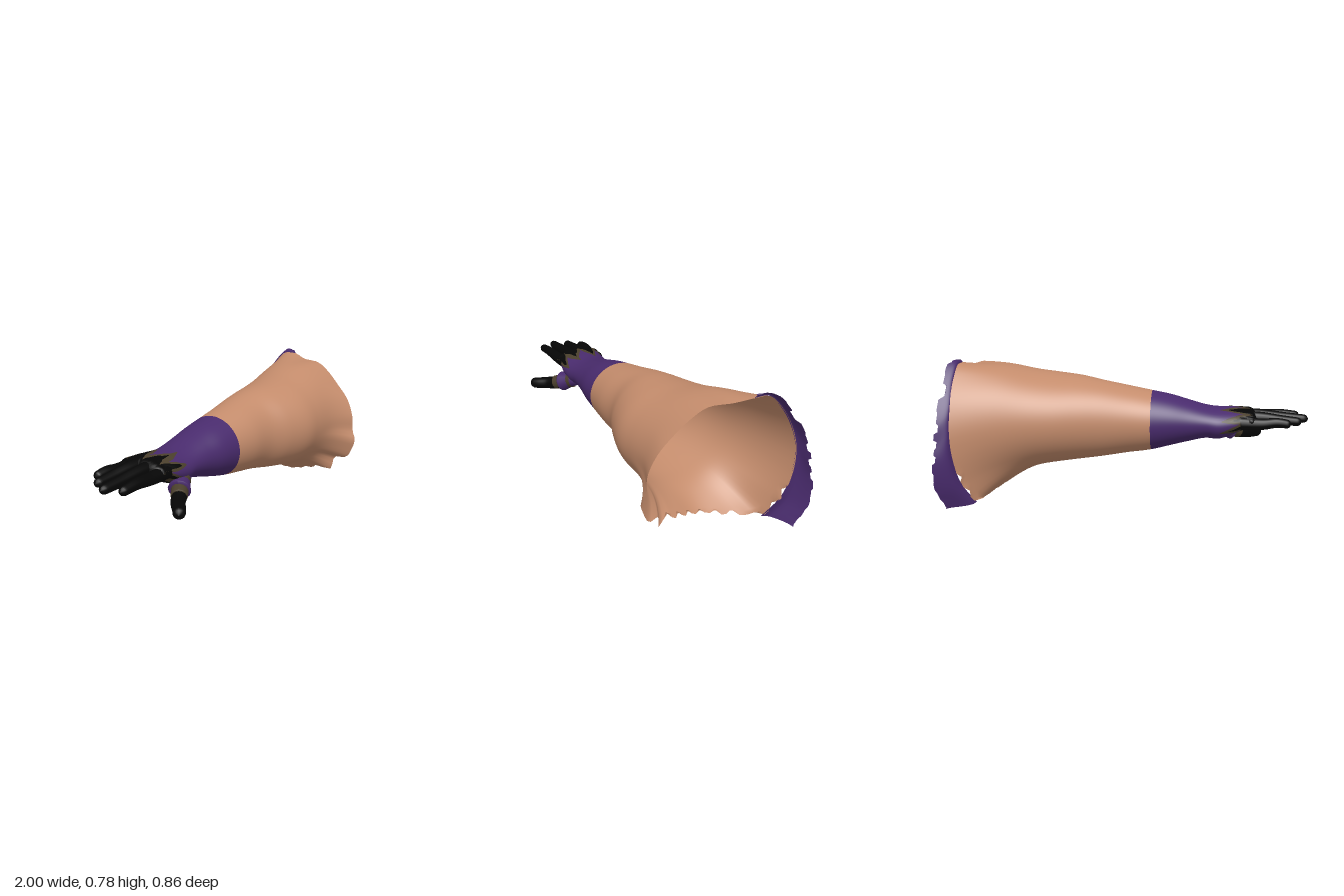
import * as THREE from 'three';

const mat = (name, color) => {
  const m = new THREE.MeshStandardMaterial({ color, side: THREE.DoubleSide });
  m.name = name;
  return m;
};
const lerp = THREE.MathUtils.lerp;
const N = 96; // points around the arm

// Arm outline at stations along x: top y, bottom y, back z, front z
const stations = [
  [-0.72, 0.468, 0.462, 0.02, 0.04],
  [-0.70, 0.505, 0.43, -0.09, 0.145],
  [-0.65, 0.52, 0.41, -0.105, 0.16],
  [-0.58, 0.522, 0.37, -0.105, 0.178],
  [-0.50, 0.52, 0.342, -0.10, 0.178],
  [-0.44, 0.528, 0.347, -0.10, 0.175],
  [-0.34, 0.555, 0.325, -0.11, 0.185],
  [-0.24, 0.583, 0.298, -0.125, 0.205],
  [-0.13, 0.605, 0.27, -0.14, 0.215],
  [0.0, 0.63, 0.25, -0.155, 0.23],
  [0.15, 0.66, 0.225, -0.18, 0.243],
  [0.27, 0.682, 0.205, -0.205, 0.295],
  [0.40, 0.697, 0.185, -0.235, 0.335],
  [0.52, 0.713, 0.166, -0.258, 0.335],
  [0.70, 0.745, 0.13, -0.283, 0.325],
  [0.95, 0.76, 0.11, -0.30, 0.33],
];
const outline = new THREE.CubicInterpolant(
  stations.map(s => s[0]), stations.flatMap(s => s.slice(1)), 4, new Float32Array(4));

// Point on the sleeve at position x and angle a (0 = top, toward the front)
function skin(x, a, inset = 0) {
  const [top, bottom, back, front] = outline.evaluate(x);
  return [x, (top + bottom) / 2 + ((top - bottom) / 2 - inset) * Math.cos(a),
    (front + back) / 2 + ((front - back) / 2 - inset) * Math.sin(a)];
}

const curve = (pts, closed = false) =>
  new THREE.CatmullRomCurve3(pts.map(p => new THREE.Vector3(...p)), closed, 'centripetal');

// Flared, uneven shoulder opening
const rimCurve = curve([
  [0.92, 0.77, -0.10], [0.88, 0.75, 0.0], [0.85, 0.745, 0.12], [0.835, 0.70, 0.20],
  [0.82, 0.63, 0.28], [0.81, 0.55, 0.355], [0.80, 0.45, 0.40], [0.80, 0.36, 0.408], [0.79, 0.31, 0.43],
  [0.79, 0.25, 0.415], [0.785, 0.188, 0.38], [0.76, 0.182, 0.315], [0.74, 0.105, 0.30], [0.72, 0.095, 0.26],
  [0.71, 0.118, 0.255], [0.70, 0.095, 0.15], [0.69, 0.07, 0.05],
  [0.74, 0.05, -0.10], [0.78, 0.035, -0.20], [0.82, 0.02, -0.28], [0.88, 0.15, -0.345],
  [0.91, 0.30, -0.375], [0.92, 0.45, -0.37], [0.92, 0.58, -0.325], [0.925, 0.69, -0.25],
  [0.925, 0.765, -0.17],
], true);
const angleOf = p => (Math.atan2((p.z - 0.02) / 0.4, (p.y - 0.4) / 0.37) + Math.PI * 2) % (Math.PI * 2);
const rimSamples = rimCurve.getPoints(900).map(p => ({ p, a: angleOf(p) }));
const rim = Array.from({ length: N }, (_, i) => {
  const a = i / N * Math.PI * 2;
  return rimSamples.reduce((best, s) => Math.abs(s.a - a) < Math.abs(best.a - a) ? s : best).p;
});

// Repeatable ragged offset
const rag = i => { const s = Math.sin(i * 12.9898) * 43758.5453; return s - Math.floor(s) - 0.5; };

// Smooth surface from rows of points
function sheet(name, material, cols, rows, closed, point) {
  const pos = [], index = [], w = closed ? cols : cols + 1;
  for (let j = 0; j <= rows; j++)
    for (let i = 0; i < w; i++) pos.push(...point(i, j / rows));
  for (let j = 0; j < rows; j++)
    for (let i = 0; i < cols; i++) {
      const a = j * w + i, b = j * w + (i + 1) % w;
      index.push(a, a + w, b, b, a + w, b + w);
    }
  const g = new THREE.BufferGeometry();
  g.setAttribute('position', new THREE.Float32BufferAttribute(pos, 3));
  g.setIndex(index);
  g.computeVertexNormals();
  const mesh = new THREE.Mesh(g, material);
  mesh.name = name;
  return mesh;
}

// Tapered, round-tipped finger along a curve
function finger(name, material, pts, r0, r1, round = 0.08) {
  const path = curve(pts), rows = 40, sides = 14;
  const g = new THREE.TubeGeometry(path, rows, 1, sides);
  const p = g.attributes.position, v = new THREE.Vector3();
  for (let k = 0; k < p.count; k++) {
    const t = Math.floor(k / (sides + 1)) / rows, c = path.getPointAt(t);
    const e = Math.max(0, (t - 1 + round) / round);
    const r = lerp(r0, r1, t) * Math.sqrt(Math.max(0, 1 - e * e));
    v.fromBufferAttribute(p, k).sub(c).multiplyScalar(r).add(c);
    p.setXYZ(k, v.x, v.y, v.z);
  }
  g.computeVertexNormals();
  const mesh = new THREE.Mesh(g, material);
  mesh.name = name;
  return mesh;
}

export function createModel() {
  const group = new THREE.Group();
  group.name = 'armWithGlove';
  const tan = mat('tan sleeve', 0xc48c6c);
  const purple = mat('purple cloth', 0x492b6d);
  const black = mat('black glove', 0x060606);
  const olive = mat('dark olive trim', 0x4a3f2c);
  const angle = i => i / N * Math.PI * 2;

  // Upper sleeve, flaring late into the ragged shoulder opening
  group.add(sheet('sleeve', tan, N, 56, true, (i, v) => {
    const r = rim[i], x = lerp(-0.13, r.x, v), base = skin(x, angle(i));
    const w = Math.pow(Math.max(0, (x - 0.45) / (r.x - 0.45)), 2.7);
    const low = r.y < 0.2 && r.z < 0.25;
    const torn = v === 1 && low ? (i % 3 === 0 ? -0.02 : 0.012 * rag(i)) : 0;
    return [x + torn, lerp(base[1], r.y, w) - torn * 0.9, lerp(base[2], r.z, w)];
  }));

  // Purple cuff with pointed edge, olive trim and black hand share one skin
  const wave = i => Math.abs(((i / 12) % 1) * 2 - 1);
  const cuffEnd = i => -0.505 - 0.11 * wave(i) + 0.03 * rag(Math.floor((i + 6) / 12)) + 0.012 * rag(i);
  const trimEnd = i => Math.max(-0.69, cuffEnd(i) - 0.04 - 0.035 * wave(i + 2) - 0.03 * rag(Math.floor(i / 5) + 40));
  const band = (name, m, from, to, rows, inset) => group.add(sheet(name, m, N, rows, true,
    (i, v) => skin(lerp(to(i), from(i), v), angle(i), inset)));
  band('cuff', purple, () => -0.13, cuffEnd, 26);
  band('cuffTrim', olive, cuffEnd, trimEnd, 4);
  band('palm', black, trimEnd, () => -0.72, 14);
  band('handLining', black, () => -0.45, () => -0.70, 14, 0.004);

  // Four fingers: base z, tip z, tip x, base y
  [[-0.078, -0.088, -0.89, 0.455], [-0.01, -0.02, -0.955, 0.475],
    [0.062, 0.06, -1.0, 0.475], [0.13, 0.146, -0.96, 0.458]].forEach(([z0, z1, x, y], k) =>
    group.add(finger('finger' + (k + 1), black,
      [[-0.62, y, z0], [-0.74, y, lerp(z0, z1, 0.4)], [(x - 0.74) / 2, 0.465, lerp(z0, z1, 0.8)], [x, 0.457, z1]],
      0.038, 0.023)));

  // Thumb with its purple base and olive edge
  group.add(finger('thumb', black,
    [[-0.56, 0.37, 0.165], [-0.61, 0.348, 0.2], [-0.665, 0.333, 0.235], [-0.715, 0.324, 0.285], [-0.758, 0.318, 0.318]],
    0.042, 0.031, 0.12));
  group.add(finger('thumbTrim', olive,
    [[-0.52, 0.385, 0.14], [-0.57, 0.367, 0.17], [-0.63, 0.343, 0.212]], 0.046, 0.042, 0.04));
  group.add(finger('thumbBase', purple,
    [[-0.46, 0.395, 0.13], [-0.53, 0.38, 0.15], [-0.595, 0.357, 0.182]], 0.022, 0.062, 0.08));

  // Torn purple collar strip along the back of the opening: a lip, then a skirt
  const inner = curve([[0.915, 0.768, -0.09], [0.918, 0.764, -0.17], [0.92, 0.687, -0.248], [0.915, 0.577, -0.322],
    [0.915, 0.45, -0.367], [0.905, 0.30, -0.372], [0.875, 0.15, -0.342], [0.815, 0.02, -0.275]]);
  const outer = curve([[0.925, 0.786, -0.10], [0.945, 0.785, -0.17], [0.955, 0.66, -0.29], [0.965, 0.49, -0.385],
    [0.975, 0.38, -0.41], [0.985, 0.28, -0.43], [0.99, 0.14, -0.42], [0.965, 0.012, -0.37]]);
  group.add(sheet('collarStrip', purple, 72, 6, false, (i, v) => {
    const a = inner.getPoint(i / 72), b = outer.getPoint(i / 72);
    const torn = v === 1 ? rag(Math.floor(i / 4) + 7) * 0.034 : 0;
    const notch = i > 58 ? torn * 0.8 : 0;
    return [lerp(a.x, b.x, Math.pow(v, 1.6)) + torn, lerp(a.y, b.y, Math.pow(v, 0.7)) + notch,
      lerp(a.z, b.z, Math.pow(v, 0.7)) - torn * 0.3];
  }));
  return group;
}
